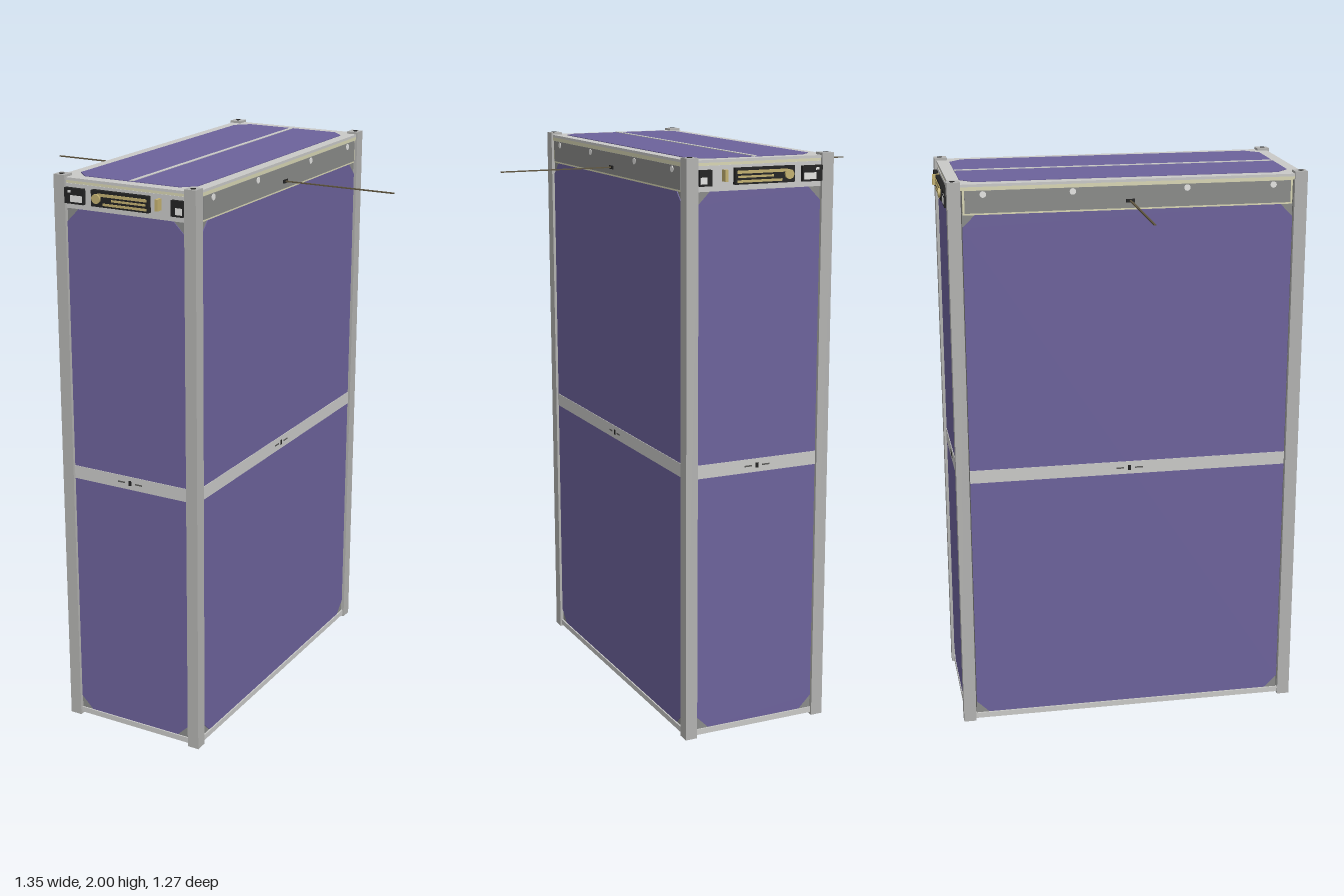
import * as THREE from 'three';

const mat = (name, color) => {
  const m = new THREE.MeshStandardMaterial({ color });
  m.name = name;
  return m;
};

export function createModel() {
  const purple = mat('solar purple', 0x6c629b);
  const light = mat('light aluminium', 0xc9c9c7);
  const railGrey = mat('rail aluminium', 0xb2b2b0);
  const grey = mat('panel grey', 0x8a8b89);
  const dark = mat('seam grey', 0x5c5c5a);
  const black = mat('connector black', 0x232323);
  const gold = mat('contact gold', 0xc2b070);
  const cream = mat('edge cream', 0xd8d6b4);
  const white = mat('label white', 0xe4e4e2);
  const bronze = mat('antenna bronze', 0x5f5540);

  const model = new THREE.Group();
  model.name = 'satellite';

  const add = (parent, name, geometry, material, x, y, z) => {
    const m = new THREE.Mesh(geometry, material);
    m.name = name;
    m.position.set(x, y, z);
    parent.add(m);
    return m;
  };
  const box = (parent, name, material, w, h, d, x, y, z) =>
    add(parent, name, new THREE.BoxGeometry(w, h, d), material, x, y, z);
  const disc = (parent, name, material, r, depth, x, y, z) =>
    add(parent, name, new THREE.CylinderGeometry(r, r, depth, 16).rotateX(Math.PI / 2), material, x, y, z);

  // Thin plate with cut corners, lying in the XY plane
  const cutPlate = (parent, name, w, h, cut, y, z) => {
    const a = w / 2, b = h / 2, c = cut;
    const pts = [[-a + c, -b], [a - c, -b], [a, -b + c], [a, b - c], [a - c, b], [-a + c, b], [-a, b - c], [-a, -b + c]];
    const shape = new THREE.Shape(pts.map(p => new THREE.Vector2(...p)));
    const g = new THREE.ExtrudeGeometry(shape, { depth: 0.004, bevelEnabled: false });
    return add(parent, name, g, purple, 0, y, z);
  };

  const face = (name, rx, ry) => {
    const g = new THREE.Group();
    g.name = name;
    g.rotation.set(rx, ry, 0);
    model.add(g);
    return g;
  };

  // Inner body, lid and base
  box(model, 'body', dark, 0.508, 1.95, 1.204, 0, 0.995, 0);
  box(model, 'lidGasket', cream, 0.528, 0.012, 1.22, 0, 1.977, 0);
  box(model, 'lid', light, 0.53, 0.009, 1.224, 0, 1.9875, 0);
  box(model, 'base', light, 0.53, 0.02, 1.224, 0, 0.018, 0);

  // Corner rails with screw holes at both ends
  for (const sx of [-1, 1]) for (const sz of [-1, 1]) {
    box(model, 'rail', railGrey, 0.043, 2, 0.045, sx * 0.2485, 1, sz * 0.5975);
    for (const y of [0, 2]) {
      const hole = disc(model, 'railScrewHole', black, 0.009, 0.004, sx * 0.25, y ? 1.9995 : 0.0005, sz * 0.6);
      hole.rotation.x = Math.PI / 2;
    }
  }

  // Solar wall: backing, cells, middle strap and its small fittings
  const wall = (g, half, d) => {
    box(g, 'backing', grey, half * 2, 1.866, 0.008, 0, 0.96, d);
    cutPlate(g, 'solarCells', half * 2, 1.86, 0.045, 0.96, d + 0.003);
    box(g, 'strap', light, half * 2, 0.047, 0.008, 0, 0.957, d + 0.005);
    box(g, 'strapPin', black, 0.01, 0.018, 0.003, 0, 0.957, d + 0.009);
    for (const s of [-1, 1]) box(g, 'strapSlot', dark, 0.028, 0.005, 0.003, s * 0.034, 0.957, d + 0.009);
  };

  // Narrow walls with the connector band
  for (const s of [1, -1]) {
    const g = face(s > 0 ? 'frontWall' : 'backWall', 0, s > 0 ? 0 : Math.PI);
    const d = 0.603;
    wall(g, 0.226, d);
    box(g, 'connectorBand', light, 0.452, 0.083, 0.012, 0, 1.932, d + 0.003);
    const put = (name, m, x, y, w, h, z, t) => box(g, name, m, w, h, t, s * x, y, z);
    put('leftSocket', black, -0.188, 1.935, 0.074, 0.052, 0.617, 0.018);
    put('leftSocketLabel', white, -0.178, 1.927, 0.046, 0.022, 0.626, 0.003);
    put('leftSocketMark', white, -0.205, 1.95, 0.012, 0.008, 0.626, 0.003);
    put('rightSocket', black, 0.203, 1.935, 0.044, 0.052, 0.617, 0.018);
    put('rightSocketLabel', white, 0.211, 1.927, 0.024, 0.022, 0.626, 0.003);
    put('mainConnector', black, -0.01, 1.937, 0.218, 0.054, 0.618, 0.02);
    put('upperContacts', gold, 0.0, 1.95, 0.185, 0.01, 0.628, 0.004);
    put('middleContacts', gold, 0.025, 1.935, 0.13, 0.007, 0.628, 0.004);
    put('lowerContacts', gold, 0.01, 1.92, 0.165, 0.008, 0.628, 0.004);
    disc(g, 'coaxPlug', gold, 0.016, 0.026, s * -0.097, 1.937, 0.623);
    put('sidePin', gold, 0.134, 1.941, 0.011, 0.038, 0.623, 0.028);
  }

  // Wide walls with the antenna band
  for (const s of [1, -1]) {
    const g = face(s > 0 ? 'leftWall' : 'rightWall', 0, s * Math.PI / 2);
    const d = 0.255;
    wall(g, 0.571, d);
    box(g, 'bandFrame', cream, 1.138, 0.088, 0.01, 0, 1.932, d + 0.003);
    box(g, 'antennaBand', grey, 1.124, 0.076, 0.012, 0, 1.932, d + 0.004);
    for (const x of [-0.5, -0.197, 0.197, 0.5])
      disc(g, 'bandScrew', white, 0.011, 0.004, x, 1.957, d + 0.01);
    box(g, 'antennaMount', black, 0.03, 0.012, 0.006, 0, 1.919, d + 0.011);
    box(g, 'antenna', bronze, 0.007, 0.004, 0.412, 0, 1.919, 0.469);
  }

  // Top cells, split lengthwise by a thin bar
  const top = face('topPanel', -Math.PI / 2, 0);
  cutPlate(top, 'topCells', 0.45, 1.14, 0.045, 0, 1.99);
  box(top, 'topDivider', light, 0.014, 1.14, 0.006, 0, 0, 1.993);

  // Bottom cells, split across by a bar
  const bottom = face('bottomPanel', Math.PI / 2, 0);
  cutPlate(bottom, 'bottomCells', 0.45, 1.14, 0.045, 0, -0.0095);
  box(bottom, 'bottomDivider', light, 0.45, 0.047, 0.006, 0, 0, -0.007);

  return model;
}
